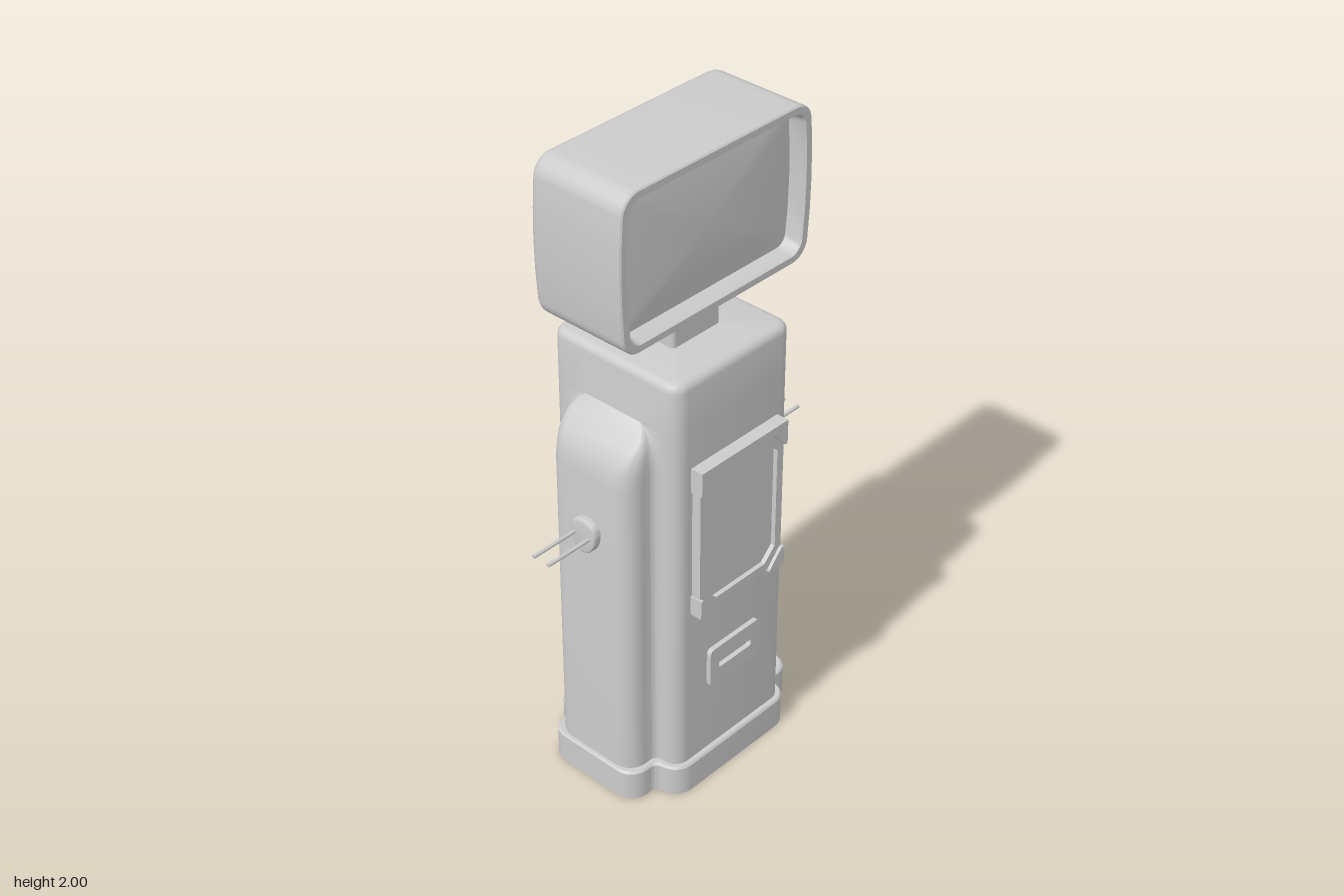
import * as THREE from 'three';
import { toCreasedNormals } from 'three/addons/utils/BufferGeometryUtils.js';
import { RoundedBoxGeometry } from 'three/addons/geometries/RoundedBoxGeometry.js';

const grey = new THREE.MeshStandardMaterial({ color: 0xcccccc, side: THREE.DoubleSide });

function part(parent, name, geometry, x = 0, y = 0, z = 0) {
  const mesh = new THREE.Mesh(geometry, grey);
  mesh.name = name;
  mesh.position.set(x, y, z);
  parent.add(mesh);
  return mesh;
}

// Skin a list of closed rings that all have the same number of points
function loft(rings, crease = 0.6) {
  const n = rings[0].length, index = [];
  for (let i = 0; i < rings.length - 1; i++) {
    for (let j = 0; j < n; j++) {
      const a = i * n + j, b = i * n + (j + 1) % n;
      index.push(a, b, b + n, a, b + n, a + n);
    }
  }
  const geometry = new THREE.BufferGeometry();
  geometry.setAttribute('position', new THREE.Float32BufferAttribute(rings.flat(2), 3));
  geometry.setIndex(index);
  return toCreasedNormals(geometry, crease);
}

// Quarter arc from a to b, bulging to corner c
function arc(ax, ay, cx, cy, bx, by, steps = 8) {
  const ox = ax + bx - cx, oy = ay + by - cy, points = [];
  for (let i = 0; i <= steps; i++) {
    const t = i / steps * Math.PI / 2;
    points.push([ox + (ax - ox) * Math.cos(t) + (bx - ox) * Math.sin(t),
      oy + (ay - oy) * Math.cos(t) + (by - oy) * Math.sin(t)]);
  }
  return points;
}

// Horizontal section: rounded box with a filleted wing on each side
function bodyRing(y, wing, wingZ, grow = 0) {
  const bx = 0.23 + grow, bz = 0.23 + grow, fz = wingZ + grow;
  const d = Math.max(wing, 0), f = Math.min(0.025, d * 0.3), r = Math.min(0.06, d * 0.6);
  const rb = Math.max(0.045 + grow, 0.015), xo = bx + d;
  const quarter = [
    ...arc(xo, fz - r, xo, fz, xo - r, fz),
    ...arc(bx + f, fz, bx, fz, bx, fz + f),
    ...arc(bx, bz - rb, bx, bz, bx - rb, bz),
  ];
  const half = [...quarter, ...quarter.slice().reverse().map(([x, z]) => [-x, z])];
  const all = [...half, ...half.slice().reverse().map(([x, z]) => [x, -z])];
  return all.map(([x, z]) => [x, y, -z - 0.01]);
}

// Upright section of the head: rounded rectangle with bowed sides
function headRing(z, inset, scale = 1) {
  const hx = 0.35 - inset, hy = 0.235 - inset, r = Math.max(0.055 - inset * 0.7, 0.015);
  const side = [-1, -0.5, 0, 0.5, 1].map(t => [hx, t * (hy - r)]);
  const right = [...side, ...arc(hx, hy - r, hx, hy, hx - r, hy).slice(1)];
  const top = [...right, [0, hy], ...right.slice().reverse().map(([x, y]) => [-x, y])];
  const lower = arc(-hx, -hy + r, -hx, -hy, -hx + r, -hy).slice(1);
  const all = [...top, ...lower, [0, -hy],
    ...lower.slice().reverse().map(([x, y]) => [-x, y]).slice(0)];
  return all.map(([x, y]) => {
    const bow = 1 + 0.04 * (1 - (y / hy) ** 2);
    return [x * bow * scale, y * scale, z];
  });
}

function polygon(points) {
  return new THREE.Shape(points.map(([x, y]) => new THREE.Vector2(x, y)));
}

function octagon(hx, hy, c) {
  return polygon([[hx, -hy + c], [hx, hy - c], [hx - c, hy], [-hx + c, hy],
    [-hx, hy - c], [-hx, -hy + c], [-hx + c, -hy], [hx - c, -hy]]);
}

function roundedRect(hx, hy, r) {
  return polygon([
    ...arc(hx, hy - r, hx, hy, hx - r, hy, 5), ...arc(-hx + r, hy, -hx, hy, -hx, hy - r, 5),
    ...arc(-hx, -hy + r, -hx, -hy, -hx + r, -hy, 5), ...arc(hx - r, -hy, hx, -hy, hx, -hy + r, 5),
  ]);
}

function extrude(shape, depth, hole) {
  if (hole) shape.holes.push(hole);
  return new THREE.ExtrudeGeometry(shape, { depth, bevelEnabled: false });
}

export function createModel() {
  const model = new THREE.Group();
  model.name = 'pump';

  // Hollow housing: wings fade into the box near the top, bottom stays open
  const wings = [[0.1, 0.105, 0.15], [1.08, 0.105, 0.15], [1.12, 0.1, 0.15], [1.15, 0.09, 0.15],
    [1.18, 0.072, 0.147], [1.2, 0.053, 0.143], [1.22, 0.033, 0.135], [1.24, 0.012, 0.12],
    [1.252, 0, 0.1], [1.385, 0, 0.1]];
  const housing = wings.map(([y, w, z]) => bodyRing(y, w, z));
  for (const a of [0.25, 0.5, 0.75, 1]) {
    const t = a * Math.PI / 2;
    housing.push(bodyRing(1.385 + 0.025 * Math.sin(t), 0, 0.1, -0.025 * (1 - Math.cos(t))));
  }
  housing.push(housing[0].map(() => [0, 1.41, -0.01]));
  part(model, 'housing', loft(housing));

  // Open plinth skirt with a narrow ledge on top
  part(model, 'plinth', loft([
    bodyRing(0, 0.1, 0.15, 0.018), bodyRing(0.094, 0.1, 0.15, 0.018),
    bodyRing(0.1, 0.1, 0.15, 0.013), bodyRing(0.1, 0.105, 0.15),
  ]));

  // Neck and head with recessed, slightly domed screen
  part(model, 'neck', new RoundedBoxGeometry(0.185, 0.18, 0.18, 3, 0.012), 0, 1.47, -0.01);
  const head = [headRing(-0.175, 0.04, 0), headRing(-0.174, 0.04, 0.6), headRing(-0.171, 0.04)];
  for (let i = 1; i <= 5; i++) {
    const t = i / 5 * Math.PI / 2;
    head.push(headRing(-0.136 - 0.035 * Math.cos(t), 0.04 * (1 - Math.sin(t))));
  }
  head.push(headRing(0.152, 0), headRing(0.156, 0.004), headRing(0.156, 0.023), headRing(0.15, 0.027),
    headRing(0.105, 0.033));
  part(model, 'head', loft(head), 0, 1.765, 0);
  const screen = [1, 0.8, 0.6, 0.4, 0.2, 0].map(s => headRing(0.105 + 0.015 * (1 - s * s), 0.033, s));
  part(model, 'screen', loft(screen), 0, 1.765, 0);

  // Display panel: chamfered frame, glass and corner brackets
  const display = new THREE.Group();
  display.name = 'displayPanel';
  display.position.set(0, 0.88, 0.21);
  model.add(display);
  part(display, 'displayFrame', extrude(octagon(0.168, 0.232, 0.05), 0.04, octagon(0.143, 0.207, 0.042)));
  part(display, 'displayGlass', extrude(octagon(0.15, 0.214, 0.045), 0.026));
  part(display, 'topBar', new THREE.BoxGeometry(0.346, 0.022, 0.05), 0, 0.244, 0.025);
  for (const sx of [-1, 1]) {
    for (const sy of [-1, 1]) {
      const corner = [[0.173, 0.24], [0.173, 0.178], [0.162, 0.178], [0.113, 0.233], [0.113, 0.24]];
      const points = corner.map(([x, y]) => [x * sx, y * sy]);
      part(display, 'cornerBracket', extrude(polygon(points), 0.05));
    }
  }

  // Lower plate with a slot
  part(model, 'slotPlate', extrude(roundedRect(0.104, 0.067, 0.015), 0.025, roundedRect(0.068, 0.011, 0.008)),
    0, 0.4, 0.21);

  // Side sockets, each with two rods
  const egg = new THREE.Shape();
  egg.moveTo(0, -0.05);
  egg.bezierCurveTo(0.022, -0.05, 0.04, -0.015, 0.04, 0.012);
  egg.bezierCurveTo(0.04, 0.038, 0.022, 0.046, 0, 0.046);
  egg.bezierCurveTo(-0.022, 0.046, -0.04, 0.038, -0.04, 0.012);
  egg.bezierCurveTo(-0.04, -0.015, -0.022, -0.05, 0, -0.05);
  const eggGeometry = toCreasedNormals(new THREE.ExtrudeGeometry(egg, {
    depth: 0.025, bevelThickness: 0.007, bevelSize: 0.007, bevelSegments: 3, curveSegments: 10,
  }), 0.7);
  for (const s of [-1, 1]) {
    const socket = part(model, s > 0 ? 'leftSocket' : 'rightSocket', eggGeometry, s * 0.326, 0.895, -0.008);
    socket.rotation.y = s * Math.PI / 2;
    for (const z of [-0.04, 0.015]) {
      const rod = part(model, s > 0 ? 'leftRod' : 'rightRod',
        new THREE.CylinderGeometry(0.006, 0.006, 0.17, 12), s * 0.426, 0.895, z);
      rod.rotation.z = Math.PI / 2;
    }
  }
  return model;
}
